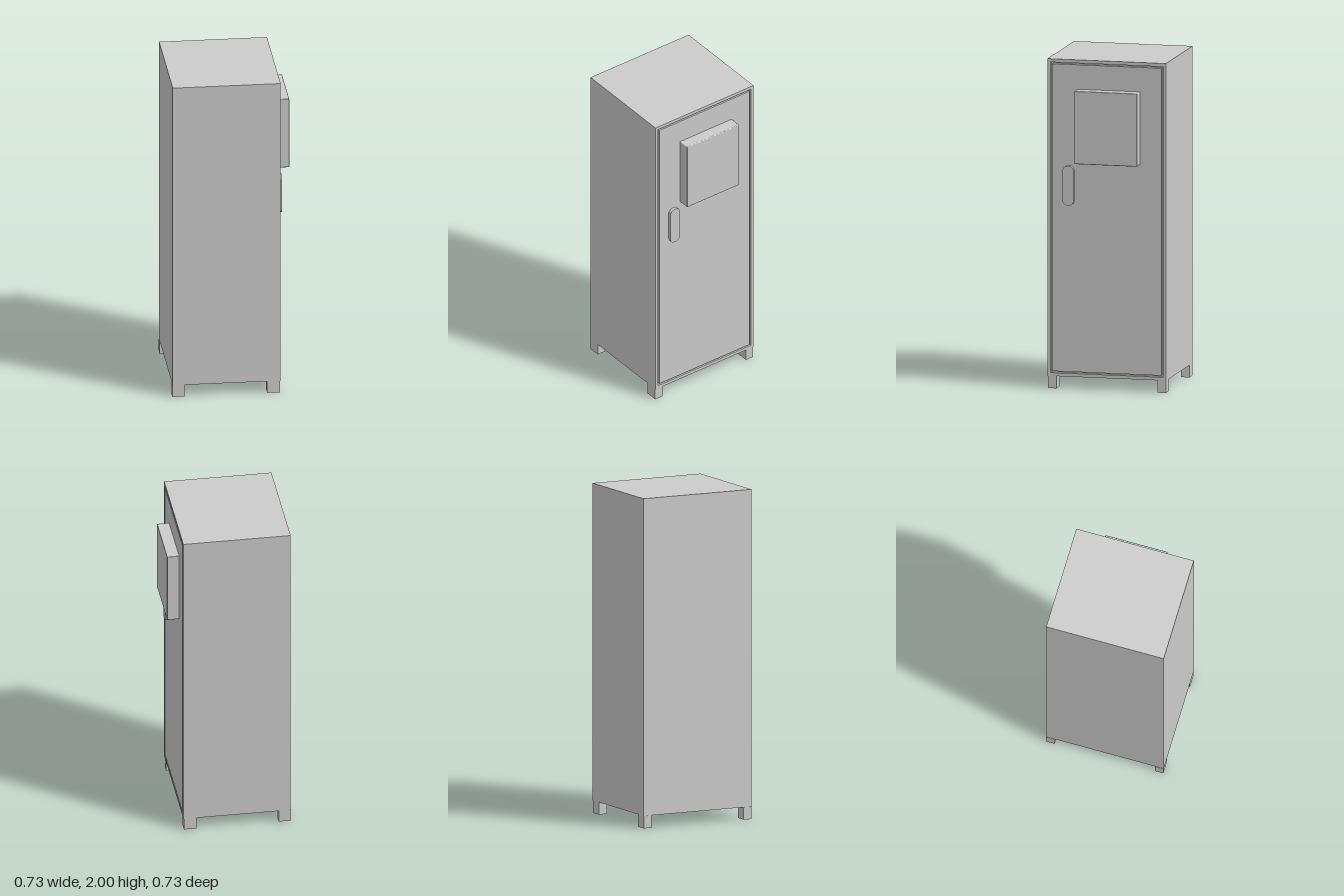
import * as THREE from 'three';
import { RoundedBoxGeometry } from 'three/addons/geometries/RoundedBoxGeometry.js';

const material = new THREE.MeshStandardMaterial({ color: 0xcccccc });

const FACE = 0.288;   // plane of the door side
const BACK = -0.362;  // plane opposite the door
const HALF = 0.366;   // half depth along z
const BOTTOM = 0.075;
const GROOVE = 0.03;  // depth of the gap around the door

export function createModel() {
  const model = new THREE.Group();

  const add = (name, geometry) => {
    const mesh = new THREE.Mesh(geometry, material);
    mesh.name = name;
    model.add(mesh);
    return mesh;
  };

  // Axis-aligned box from its limits
  const box = (name, x0, x1, y0, y1, z0, z1) =>
    add(name, new THREE.BoxGeometry(x1 - x0, y1 - y0, z1 - z0))
      .position.set((x0 + x1) / 2, (y0 + y1) / 2, (z0 + z1) / 2);

  // Rounded rectangle in the (-z, y) plane
  const outline = (Type, z0, z1, y0, y1, r = 0) => {
    const a = -z1, b = -z0, s = new Type();
    if (!r) return s.setFromPoints([[a, y0], [b, y0], [b, y1], [a, y1]].map(p => new THREE.Vector2(...p)));
    s.absarc(b - r, y0 + r, r, -Math.PI / 2, 0);
    s.absarc(b - r, y1 - r, r, 0, Math.PI / 2);
    s.absarc(a + r, y1 - r, r, Math.PI / 2, Math.PI);
    s.absarc(a + r, y0 + r, r, Math.PI, Math.PI * 1.5);
    s.closePath();
    return s;
  };

  // Extrude an outline towards +x, starting at x
  const extrudeX = (name, shape, x, depth) => add(name,
    new THREE.ExtrudeGeometry(shape, { depth, bevelEnabled: false, curveSegments: 6 })
      .rotateY(Math.PI / 2).translate(x, 0, 0));

  // Cabinet body with a frame around the door
  box('cabinetBody', BACK, FACE - GROOVE, BOTTOM, 2, -HALF, HALF);
  const frame = outline(THREE.Shape, -HALF, HALF, BOTTOM, 2);
  frame.holes.push(outline(THREE.Path, -0.347, 0.347, 0.095, 1.98));
  extrudeX('doorFrame', frame, FACE - GROOVE, GROOVE);

  // Door flush with the frame, separated by a narrow gap
  box('door', FACE - GROOVE, FACE, 0.105, 1.97, -0.337, 0.337);

  // Raised box on the door, with slightly softened edges
  add('doorPanelBox', new RoundedBoxGeometry(0.083, 0.443, 0.388, 2, 0.005))
    .position.set(0.3195, 1.6, -0.011);

  // Pull handle
  extrudeX('handle', outline(THREE.Shape, 0.2, 0.268, 1.117, 1.357, 0.03), FACE, 0.02);

  // Four feet
  for (const [x0, x1] of [[-0.364, -0.29], [0.207, 0.284]]) {
    for (const side of [-1, 1]) {
      const z = side * 0.3385;
      box('foot', x0, x1, 0, BOTTOM, z - 0.0265, z + 0.0265);
    }
  }

  return model;
}
